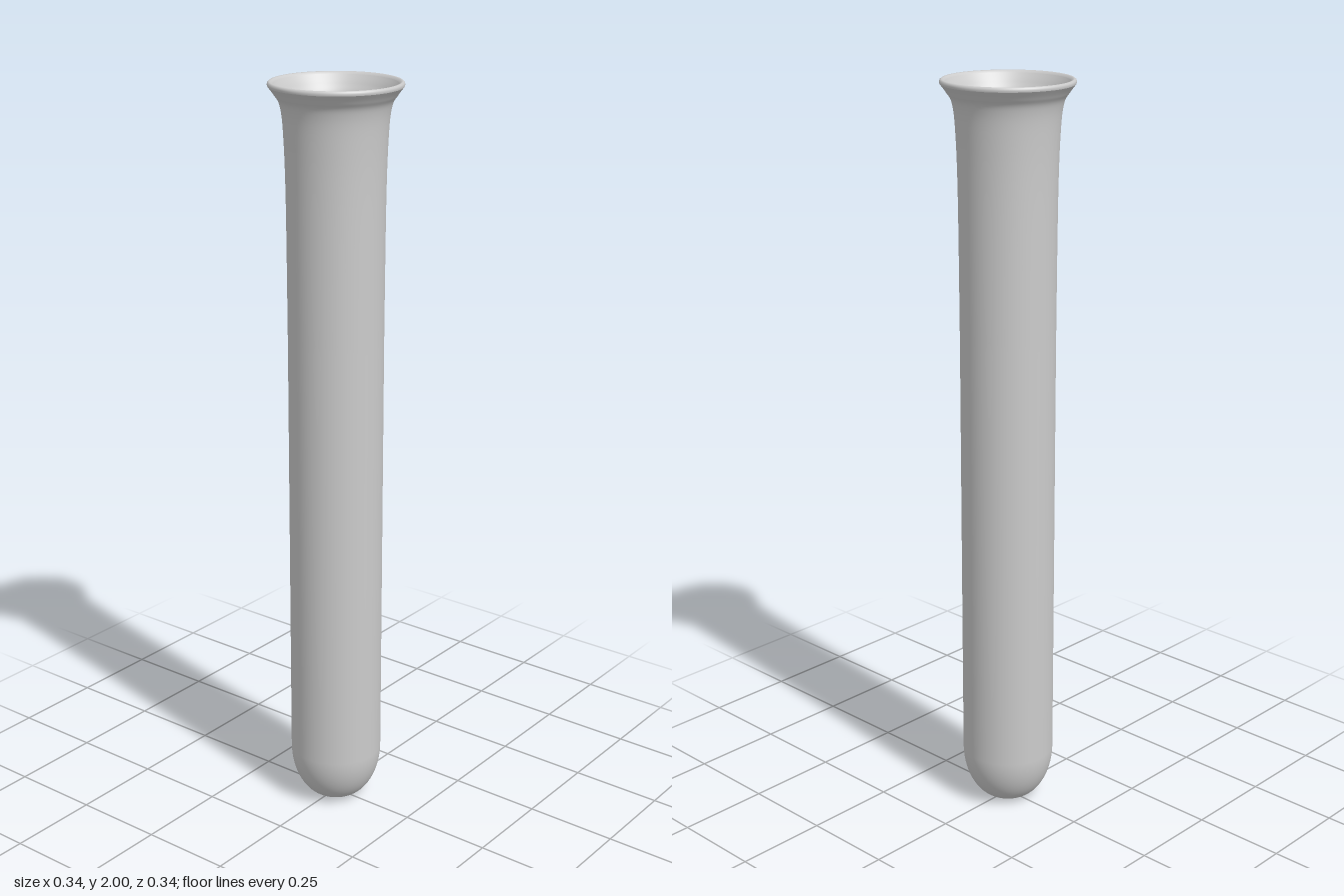
import * as THREE from 'three';

const SEGMENTS = 96;

export function createModel() {
  const group = new THREE.Group();
  group.name = 'testTube';
  const material = new THREE.MeshStandardMaterial({ color: 0xcccccc });

  const add = (name, geometry, y = 0) => {
    const mesh = new THREE.Mesh(geometry, material);
    mesh.name = name;
    mesh.position.y = y;
    group.add(mesh);
    return mesh;
  };
  const lathe = (points) => new THREE.LatheGeometry(points, SEGMENTS);
  const v = (x, y) => new THREE.Vector2(x, y);

  // Rounded bottom: flat centre, then a quarter ellipse up to the straight wall
  const outer = [v(0, 0)];
  for (let i = 0; i <= 16; i++) {
    const a = (i / 16) * Math.PI / 2;
    outer.push(v(0.03 + 0.095 * Math.sin(a), 0.15 * (1 - Math.cos(a))));
  }

  // Outer wall, widening gently and then flaring to the lip
  outer.push(v(0.125, 0.7), v(0.125, 1.32));
  const flare = new THREE.SplineCurve([
    v(0.125, 1.32), v(0.127, 1.7), v(0.132, 1.87), v(0.14, 1.94), v(0.155, 1.968), v(0.17, 1.988),
  ]);
  outer.push(...flare.getPoints(40).slice(1));
  add('outerWall', lathe(outer));

  // Rounded lip
  add('lip', lathe([
    v(0.17, 1.988), v(0.171, 1.992), v(0.17, 1.997), v(0.166, 2), v(0.161, 1.999), v(0.157, 1.994),
  ]));

  // Inner wall, running from the lip down to the floor
  const innerFlare = new THREE.SplineCurve([
    v(0.157, 1.994), v(0.143, 1.972), v(0.128, 1.94), v(0.119, 1.87), v(0.114, 1.7), v(0.112, 1.32),
  ]);
  add('innerWall', lathe([...innerFlare.getPoints(40), v(0.112, 0.7), v(0.112, 0.14)]));

  // Flat floor inside the tube
  const floor = new THREE.CircleGeometry(0.112, SEGMENTS).rotateX(-Math.PI / 2);
  add('innerFloor', floor, 0.14);

  return group;
}
